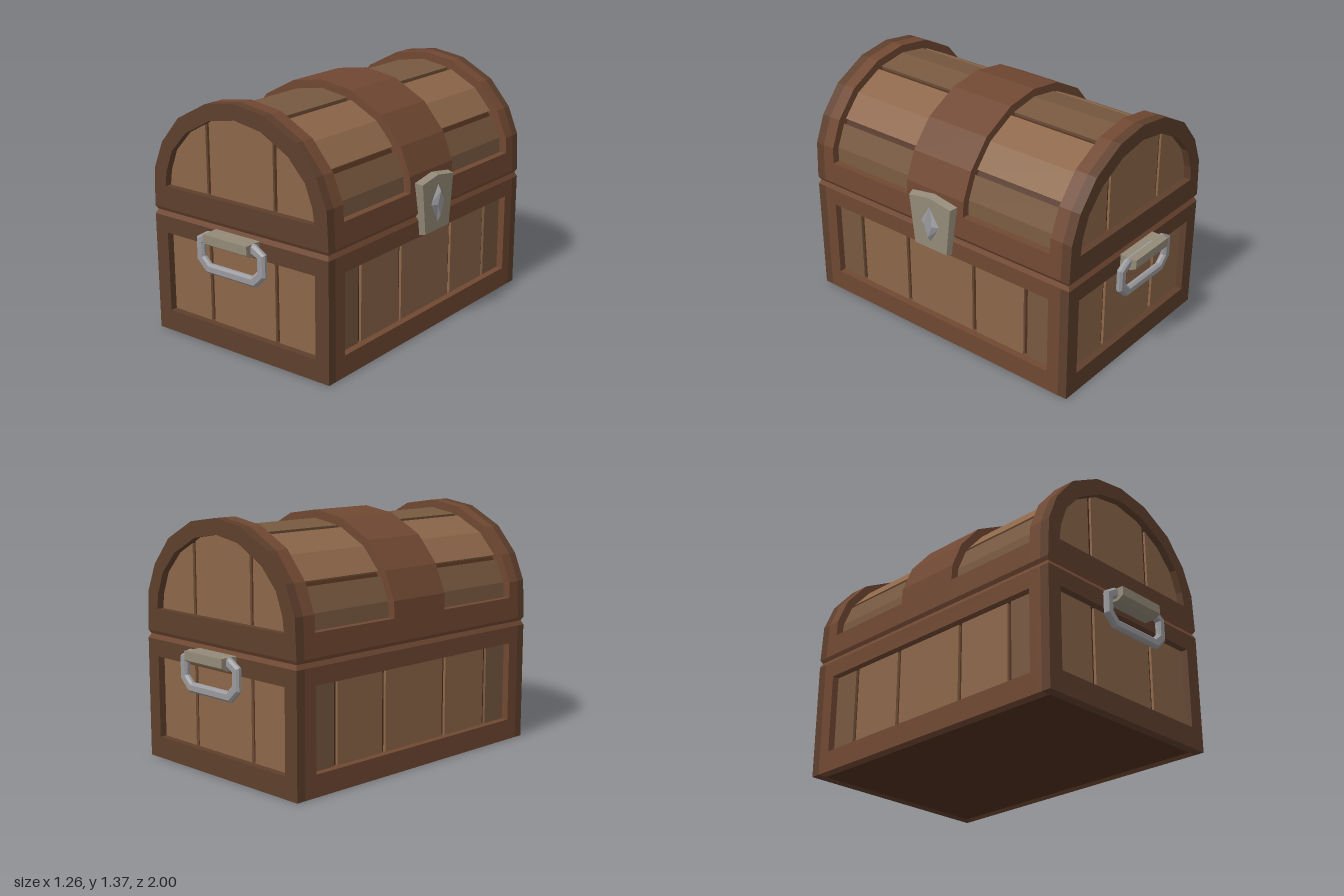
import * as THREE from 'three';

const mat = (color) => new THREE.MeshStandardMaterial({ color, flatShading: true });
const M = {
  frame: mat(0x704832), endFrame: mat(0x5e3f2c), plank: mat(0x8c6649),
  darkPlank: mat(0x785940), groove: mat(0x4f2f1c), brass: mat(0x938a78), steel: mat(0x9a9a9e),
};
const HW = 0.6025, HL = 0.9, DEEP = 0.055;

const shapeOf = (pts) => new THREE.Shape(pts.map(([x, y]) => new THREE.Vector2(x, y)));
const mirrorX = (pts) => pts.map(([x, y]) => [-x, y]).reverse();
// full symmetric outline from its right half, bottom to top (last point at x = 0)
const symmetric = (half) => [...half, ...mirrorX(half).slice(1)];

function add(parent, name, geo, material) {
  const mesh = new THREE.Mesh(geo, material);
  mesh.name = name;
  parent.add(mesh);
  return mesh;
}

// extrude an outline between z0 and z1, with an optional hole
function prism(pts, z0, z1, hole) {
  const s = shapeOf(pts);
  if (hole) s.holes.push(shapeOf(hole));
  return new THREE.ExtrudeGeometry(s, { depth: z1 - z0, bevelEnabled: false }).translate(0, 0, z0);
}

// move the far (or near) cap towards a centre to taper a geometry
function taper(geo, test, sx, sy, cy = 0) {
  const p = geo.attributes.position;
  for (let i = 0; i < p.count; i++) {
    if (test(p.getX(i), p.getY(i), p.getZ(i))) p.setXY(i, p.getX(i) * sx, cy + (p.getY(i) - cy) * sy);
  }
  geo.computeVertexNormals();
  return geo;
}

const rect = (x0, x1, y0, y1) => [[x0, y0], [x1, y0], [x1, y1], [x0, y1]];

// lid outlines: outer arch, arch opening and barrel
const OUTER = symmetric([[HW, 0.715], [0.592, 0.93], [0.528, 1.085], [0.4, 1.235], [0.2, 1.34], [0, 1.37]]);
const INNER = symmetric([[0.515, 0.84], [0.503, 0.925], [0.457, 1.045], [0.35, 1.16], [0.175, 1.255], [0, 1.285]]);

function innerHeight(x) {
  for (let i = 0; i < INNER.length - 1; i++) {
    const [x0, y0] = INNER[i], [x1, y1] = INNER[i + 1];
    if (x <= x0 && x >= x1) return y0 + (y1 - y0) * (x0 - x) / (x0 - x1);
  }
  return 0.84;
}

// one framed wall of the base, facing +z
function baseWall(name, half, inner, dist, cuts, darkEnds, frameMat) {
  const g = new THREE.Group();
  g.name = name;
  add(g, 'wallFrame', prism(rect(-half, half, 0, 0.67), dist - DEEP, dist,
    rect(-inner, inner, 0.12, 0.575)), frameMat);
  const edges = [-inner - 0.013, ...cuts, inner + 0.013];
  for (let i = 0; i < edges.length - 1; i++) {
    const dark = darkEnds && (i === 0 || i === edges.length - 2);
    add(g, 'wallPlank', prism(rect(edges[i] + 0.013, edges[i + 1] - 0.013, 0.12, 0.575),
      dist - DEEP - 0.005, dist - 0.04), dark ? M.darkPlank : M.plank);
  }
  return g;
}

// arched end of the lid, facing +z
function lidEnd() {
  const g = new THREE.Group();
  g.name = 'lidEnd';
  add(g, 'endBand', prism(OUTER, 0.77, HL - DEEP), M.frame);
  add(g, 'endArch', prism(OUTER, HL - DEEP, HL, INNER), M.endFrame);
  add(g, 'endBacking', prism(INNER, HL - DEEP - 0.01, HL - DEEP + 0.002), M.groove);
  const edges = [-0.528, -0.23, 0.23, 0.528];
  for (let i = 0; i < 3; i++) {
    const a = edges[i] + 0.013, b = edges[i + 1] - 0.013;
    const mid = INNER.filter(([x, y]) => x > a && x < b && y > 0.84);
    const pts = [[a, 0.84], [b, 0.84], [b, innerHeight(b) + 0.001], ...mid, [a, innerHeight(a) + 0.001]];
    add(g, 'endPlank', prism(pts, HL - DEEP, HL - 0.04), M.plank);
  }
  return g;
}

// bracket with a hanging ring, facing +z
function handle() {
  const g = new THREE.Group();
  g.name = 'handle';
  const profile = [[-0.88, 0.605], [-0.88, 0.675], [-1, 0.675], [-1, 0.625], [-0.965, 0.605]].reverse();
  add(g, 'handleBracket', prism(profile, -0.152, 0.152).rotateY(Math.PI / 2), M.brass);
  const ring = (x, xc, y0, y0c, y1c, y1) => [[xc, y0], [x, y0c], [x, y1c], [xc, y1],
    [-xc, y1], [-x, y1c], [-x, y0c], [-xc, y0]];
  const s = shapeOf(ring(0.226, 0.165, 0.457, 0.515, 0.627, 0.663));
  s.holes.push(shapeOf(ring(0.196, 0.15, 0.487, 0.53, 0.612, 0.633)));
  const geo = new THREE.ExtrudeGeometry(s, {
    depth: 0.014, bevelThickness: 0.012, bevelSize: 0.012, bevelSegments: 1,
  });
  add(g, 'handleRing', geo.translate(0, 0, 0.943), M.steel);
  return g;
}

// shield plate with a raised diamond, facing +z
function clasp() {
  const g = new THREE.Group();
  g.name = 'clasp';
  const plate = [[0.13, 0.58], [0.167, 0.89], [0, 0.917], [-0.167, 0.89], [-0.13, 0.58]];
  add(g, 'claspPlate', taper(prism(plate, 0.57, 0.637), (x, y, z) => z > 0.6, 0.87, 0.92, 0.75), M.brass);
  const gem = [[0, -0.118], [0.075, 0], [0, 0.118], [-0.075, 0]];
  const geo = taper(prism(gem, 0.63, 0.657), (x, y, z) => z > 0.64, 0.35, 0.6);
  add(g, 'claspDiamond', geo.translate(0, 0.745, 0), M.steel);
  return g;
}

export function createModel() {
  const model = new THREE.Group();
  model.name = 'chest';
  const chest = new THREE.Group();
  chest.name = 'chestBody';
  chest.position.x = -0.0275;
  model.add(chest);

  // base: dark core, four framed walls and a V-shaped seam under the lid
  add(chest, 'baseCore', new THREE.BoxGeometry(2 * (HW - DEEP), 0.67, 2 * (HL - DEEP))
    .translate(0, 0.335, 0), M.groove);
  for (const turn of [0, 1]) {
    const end = baseWall('baseEnd', HW, 0.515, HL, [-0.23, 0.23], false, M.endFrame);
    const side = baseWall('baseSide', HL - DEEP, 0.77, HW, [-0.595, -0.24, 0.24, 0.595], true, M.frame);
    const top = lidEnd(), grip = handle();
    for (const part of [end, top, grip]) part.rotation.y = turn * Math.PI;
    side.rotation.y = Math.PI / 2 + turn * Math.PI;
    chest.add(end, side, top, grip);
  }
  const seam = (name, y0, y1, narrowTop) => {
    const geo = new THREE.BoxGeometry(2 * HW, y1 - y0, 2 * HL).translate(0, (y0 + y1) / 2, 0);
    const p = geo.attributes.position;
    for (let i = 0; i < p.count; i++) {
      if ((p.getY(i) > (y0 + y1) / 2) !== narrowTop) continue;
      p.setX(i, p.getX(i) - Math.sign(p.getX(i)) * 0.012);
      p.setZ(i, p.getZ(i) - Math.sign(p.getZ(i)) * 0.012);
    }
    geo.computeVertexNormals();
    add(chest, name, geo, M.frame);
  };
  seam('baseRim', 0.67, 0.695, true);
  seam('lidRim', 0.695, 0.715, false);

  // lid: centre band, lower rails and the planked barrel
  add(chest, 'centreBand', prism(OUTER, -0.2, 0.2), M.frame);
  const rail = [[-HW, 0.715], [HW, 0.715], [0.5965, 0.84], [-0.5965, 0.84]];
  const low = [[0.555, 0.835], [0.548, 0.925], [0.494, 1.053]];
  const high = [[0.478, 1.077], [0.37, 1.2], [0.2, 1.288]];
  const crown = [[0.174, 1.297], [0, 1.325], [-0.174, 1.297]];
  const shrink = (pts, k) => pts.map(([x, y]) => [x * k, 0.7 + (y - 0.7) * k]);
  const core = shrink([...low, ...high, ...crown, ...mirrorX(high), ...mirrorX(low)], 0.97);
  const planks = [[low, M.darkPlank], [high, M.plank], [crown, M.darkPlank],
    [mirrorX(high), M.plank], [mirrorX(low), M.darkPlank]];
  for (const [z0, z1] of [[-0.77, -0.2], [0.2, 0.77]]) {
    add(chest, 'lidRail', prism(rail, z0, z1), M.frame);
    add(chest, 'barrelCore', prism(core, z0, z1), M.groove);
    for (const [pts, m] of planks) {
      add(chest, 'barrelPlank', prism([...pts, ...shrink(pts, 0.95).reverse()], z0, z1), m);
    }
  }

  // clasp on the left side
  const lock = clasp();
  lock.rotation.y = Math.PI / 2;
  chest.add(lock);
  return model;
}
